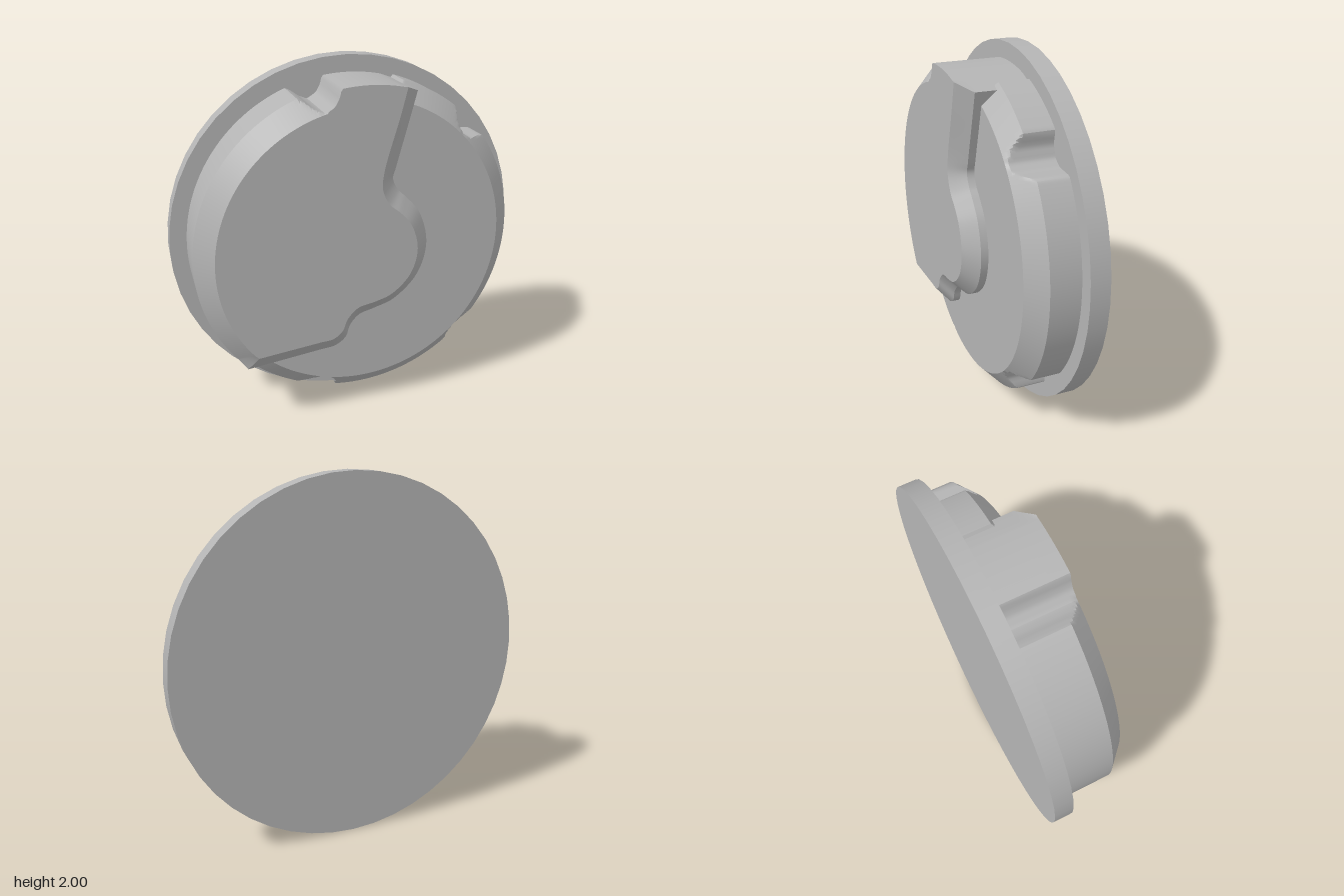
import * as THREE from 'three';
import { toCreasedNormals } from 'three/addons/utils/BufferGeometryUtils.js';

const DEG = Math.PI / 180;

// Grip notches as [angle, radius], mirrored top to bottom
const NOTCHES = [
  [[37, 0.918], [39.2, 0.878], [41.4, 0.84], [45.2, 0.826], [49.3, 0.856], [51.6, 0.918]],
  [[98.6, 0.918], [99.5, 0.87], [101.9, 0.828], [105.8, 0.81], [108.6, 0.844], [110.4, 0.885], [112.5, 0.918]],
];

function notchRaw(angle) {
  const a = angle > 180 ? 360 - angle : angle;
  for (const n of NOTCHES) {
    for (let i = 0; i < n.length - 1; i++) {
      const [a0, r0] = n[i], [a1, r1] = n[i + 1];
      if (a >= a0 && a <= a1) return r0 + (r1 - r0) * (a - a0) / (a1 - a0);
    }
  }
  return 0.918;
}

// Slightly rounded notch outline
function notchRadius(angle) {
  return (notchRaw(angle - 0.6) + 2 * notchRaw(angle) + notchRaw(angle + 0.6)) / 4;
}

function polar(angle, r) {
  return [r * Math.cos(angle * DEG), 1 + r * Math.sin(angle * DEG)];
}

// Joins counterclockwise loops from back to front and caps the front
function loft(levels, loopAt, centre) {
  const pos = [];
  const loops = levels.map((z) => loopAt(z).map(([x, y]) => [x, y, z]));
  const n = loops[0].length;
  const last = loops.length - 1;
  const hub = [centre[0], centre[1], levels[last]];
  for (let i = 0; i < n; i++) {
    const j = (i + 1) % n;
    for (let k = 0; k < last; k++) {
      const a = loops[k][i], b = loops[k][j], c = loops[k + 1][j], d = loops[k + 1][i];
      pos.push(...a, ...b, ...c, ...a, ...c, ...d);
    }
    pos.push(...hub, ...loops[last][i], ...loops[last][j]);
  }
  const g = new THREE.BufferGeometry();
  g.setAttribute('position', new THREE.Float32BufferAttribute(pos, 3));
  return toCreasedNormals(g, 30 * DEG);
}

// Step edge from the top rim, round the hub, to the lower left rim
function stepCurve(start, hubRadius, end) {
  const hub = [50, 30, 0, -30, -60, -80].map((a) => polar(a, hubRadius));
  const pts = [...start, ...hub, ...end].map(([x, y]) => new THREE.Vector3(x, y, 0));
  return new THREE.CatmullRomCurve3(pts, false, 'centripetal').getPoints(100);
}

const stepFoot = stepCurve(
  [[0.29, 1.85], [0.255, 1.72], [0.18, 1.45], [0.165, 1.39], [0.195, 1.325]], 0.37,
  [[-0.02, 0.61], [-0.075, 0.55], [-0.1, 0.48], [-0.16, 0.435], [-0.25, 0.422], [-0.5, 0.39], [-0.66, 0.37]]);
const stepTop = stepCurve(
  [[0.21, 1.885], [0.175, 1.75], [0.09, 1.45], [0.085, 1.36], [0.125, 1.275]], 0.29,
  [[-0.05, 0.69], [-0.11, 0.63], [-0.14, 0.56], [-0.19, 0.52], [-0.27, 0.51], [-0.5, 0.483], [-0.61, 0.47]]);

// Lower tier: full round with a chamfered rim, tucked inside the raised tier
function lowerLoop(z) {
  const loop = [];
  const cone = 0.918 - Math.max(0, z - 0.03) * 1.1;
  for (let a = 0; a < 360; a += 0.75) {
    const tucked = a > 74 && a < 221;
    const r = notchRadius(a) - (tucked ? 0.025 : 0);
    loop.push(polar(a, Math.min(r, cone)));
  }
  return loop;
}

// Raised tier: rim on the left, sloped step on the right
function raisedLoop(z) {
  const loop = [];
  for (let a = 78; a <= 219; a += 0.75) {
    const cone = a < 105 ? 0.908 : 0.908 - Math.max(0, z - 0.14) * 1.03;
    loop.push(polar(a, Math.min(notchRadius(a), cone)));
  }
  const t = Math.max(0, (z - 0.16) / 0.075);
  for (let i = stepFoot.length - 1; i >= 0; i--) {
    const p = stepFoot[i].clone().lerp(stepTop[i], t);
    loop.push([p.x, p.y]);
  }
  return loop;
}

export function createModel() {
  const group = new THREE.Group();
  const grey = new THREE.MeshStandardMaterial({ color: 0xb4b4b4 });
  grey.name = 'grey';

  function add(name, geometry) {
    const mesh = new THREE.Mesh(geometry, grey);
    mesh.name = name;
    group.add(mesh);
    return mesh;
  }

  // Flange disc at the back
  const flange = new THREE.CylinderGeometry(1, 1, 0.105, 48);
  flange.rotateX(Math.PI / 2);
  add('flange', flange).position.set(0, 1, -0.185);

  add('lowerTier', loft([-0.135, 0.03, 0.045, 0.06, 0.075, 0.09, 0.105, 0.12], lowerLoop, [0, 1]));
  add('raisedTier', loft([-0.135, 0.14, 0.16, 0.175, 0.19, 0.205, 0.22, 0.237], raisedLoop, [-0.3, 1.1]));
  return group;
}
